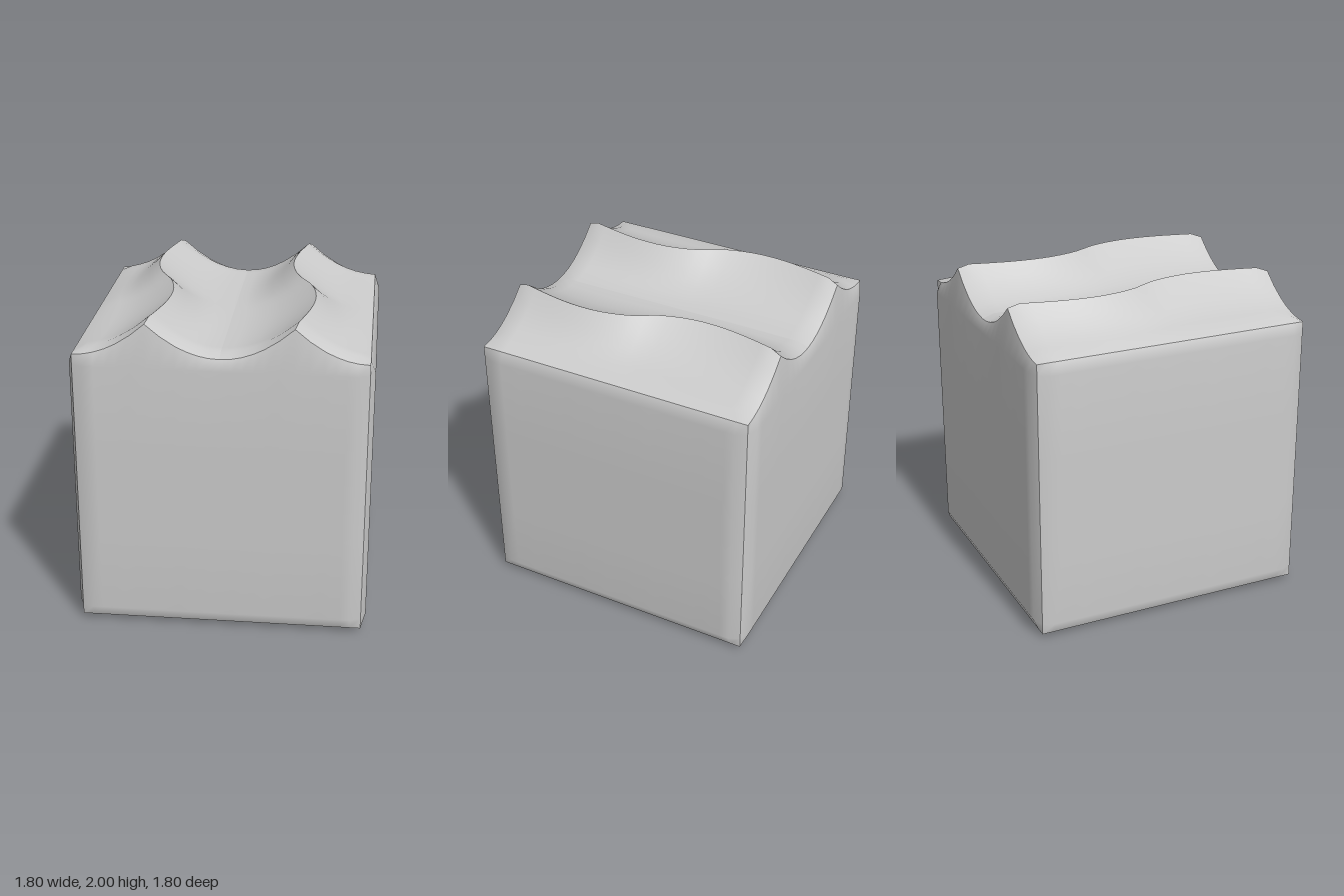
import * as THREE from 'three';
import { mergeGeometries } from 'three/addons/utils/BufferGeometryUtils.js';

const E = 0.87;      // half width at the edges
const BULGE = 0.03;  // how far each face swells past its edges
const INSET = 0.07;  // width of the soft bevel
const MID = E / 2;   // mean ridge position

// 0 at an edge, 1 once past the bevel
const bevel = (...gaps) => Math.max(0, Math.min(1, ...gaps.map(g => g / INSET)));

// Grid surface over us x vs, facing du x dv
function patch(us, vs, point) {
  const pos = [], index = [], n = us.length;
  for (const v of vs) for (const u of us) pos.push(...point(u, v));
  for (let j = 0; j < vs.length - 1; j++) {
    for (let i = 0; i < n - 1; i++) {
      const a = j * n + i, b = a + 1, c = a + n, d = c + 1;
      index.push(a, b, d, a, d, c);
    }
  }
  const g = new THREE.BufferGeometry();
  g.setAttribute('position', new THREE.Float32BufferAttribute(pos, 3));
  g.setIndex(index);
  g.computeVertexNormals();
  return g;
}

// Fractions from valley to ridge, and the straight-face grid lines
const steps = [0, 0.16, 0.3, 0.45, 0.6, 0.8, 1];
const half = [...steps.map(t => t * MID), ...steps.slice(0, -1).reverse().map(t => E - t * MID)];
const line = [...half.slice(1).reverse().map(x => -x), ...half];
const rows = [-E, -0.8];
for (let i = 1; i < 24; i++) rows.push(-0.8 + 1.6 * i / 24);
rows.push(0.8, E);

// Sideways sway of the ridges along the depth
const sway = z => 0.09 * Math.sign(z) * Math.sin(Math.PI * Math.pow(Math.abs(z) / E, 0.8));
const edgeHeight = t => 1.775 + 0.2 * t * t;

export function createModel() {
  const group = new THREE.Group();
  const material = new THREE.MeshStandardMaterial({ color: 0xcccccc });
  const add = (name, geometry) => {
    const mesh = new THREE.Mesh(geometry, material);
    mesh.name = name;
    group.add(mesh);
    return mesh;
  };

  // Wavy top: four scooped strips meeting at two sharp, swaying ridges
  const strips = [];
  for (const side of [-1, 1]) {
    for (const valley of [0, side * E]) {
      const ts = valley < side * MID && valley >= 0 || valley === -E ? steps : [...steps].reverse();
      strips.push(patch(ts, rows, (t, v) => {
        const z = -v;
        const x = valley + t * (side * MID + sway(z) - valley);
        return [x, edgeHeight(t) + 0.025 * bevel(E - Math.abs(x), E - Math.abs(z)), z];
      }));
    }
  }
  add('wavyTop', mergeGeometries(strips));

  // Front and back walls follow the wave along their upper edge
  const wall = patch(line, [0, 0.25, 0.5, 0.75, 1, 2], (x, v) => {
    const t = 1 - Math.abs(Math.abs(x) - MID) / MID;
    const y = v === 0 ? 0.03 : v === 2 ? edgeHeight(t) : 0.1 + (v - 0.25) / 0.75 * 1.61;
    const b = v === 0 || v === 2 ? 0 : bevel(E - Math.abs(x));
    return [x, y, E + BULGE * b];
  });
  add('frontWall', wall);
  add('backWall', wall).rotation.y = Math.PI;

  // Straight side walls
  const sideWall = patch(line, [0.03, 0.1, 0.6, 1.2, 1.705, 1.775], (u, y) =>
    [u, y, E + BULGE * bevel(E - Math.abs(u), y - 0.03, 1.775 - y)]);
  add('leftWall', sideWall).rotation.y = Math.PI / 2;
  add('rightWall', sideWall).rotation.y = -Math.PI / 2;

  // Base
  add('base', patch(line, rows, (x, z) =>
    [x, 0.03 - BULGE * bevel(E - Math.abs(x), E - Math.abs(z)), z]));

  return group;
}
